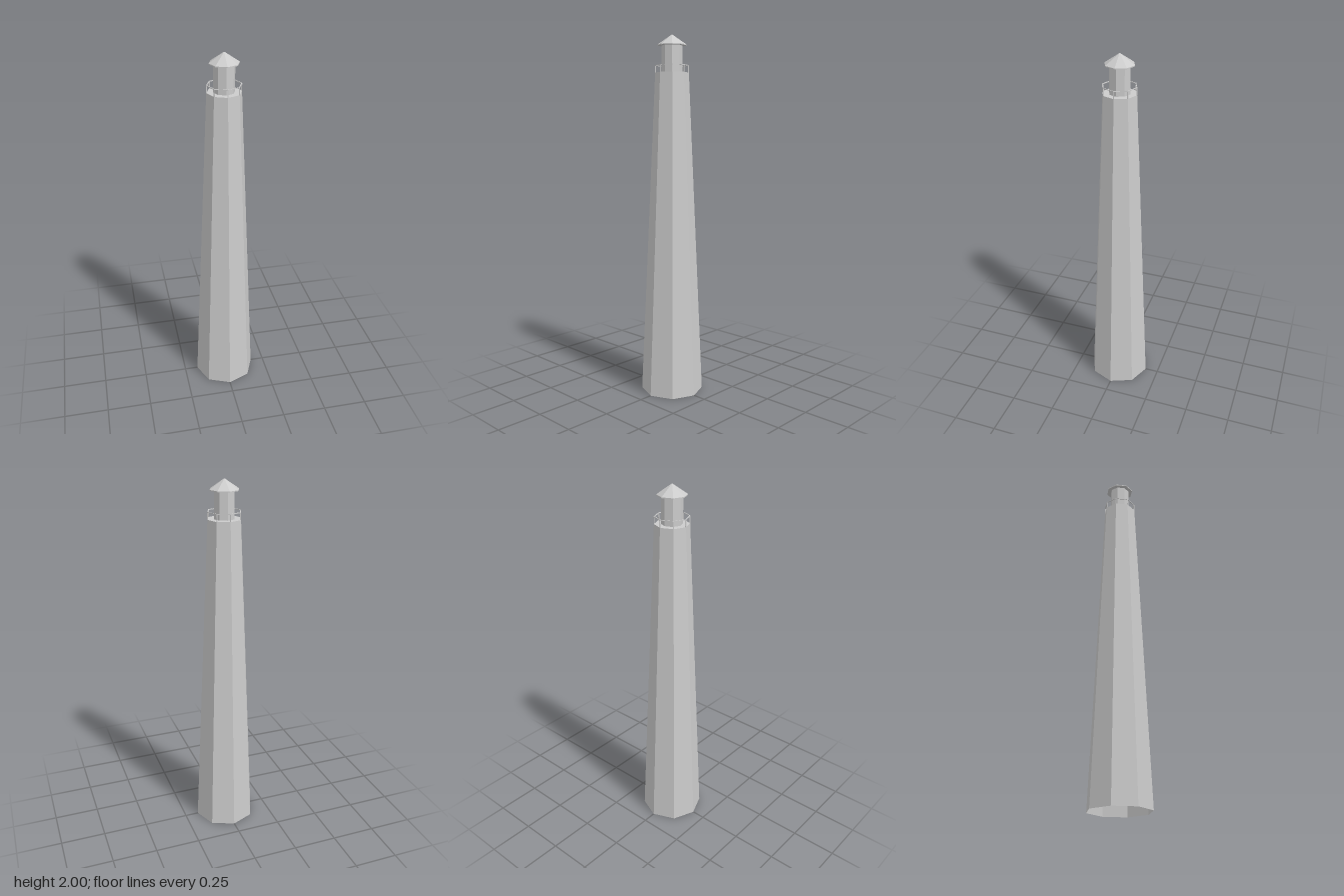
import * as THREE from 'three';

const SIDES = 8;
const material = new THREE.MeshStandardMaterial({ color: 0xcccccc, flatShading: true, side: THREE.DoubleSide });

export function createModel() {
  const model = new THREE.Group();

  const add = (name, geometry, parent = model) => {
    const mesh = new THREE.Mesh(geometry, material);
    mesh.name = name;
    parent.add(mesh);
    return mesh;
  };

  // Octagonal frustum between two heights, corners on the axes
  const frustum = (name, rBottom, rTop, y0, y1, open = false) => {
    const mesh = add(name, new THREE.CylinderGeometry(rTop, rBottom, y1 - y0, SIDES, 1, open));
    mesh.position.y = (y0 + y1) / 2;
    return mesh;
  };

  // Tapered tower, hollow and open at the foot
  frustum('tower', 0.174, 0.092, 0, 1.8, true);
  const deck = add('galleryDeck', new THREE.CircleGeometry(0.092, SIDES));
  deck.rotation.x = -Math.PI / 2;
  deck.position.y = 1.8;

  // Lantern room and its roof
  frustum('lanternRoom', 0.056, 0.056, 1.8, 1.946);
  frustum('roofEave', 0.079, 0.079, 1.944, 1.949);
  frustum('roof', 0.079, 0.004, 1.949, 2);

  // Gallery railing: a post at every corner and a bar along every side
  const railing = new THREE.Group();
  railing.name = 'railing';
  model.add(railing);
  const radius = 0.09, bar = 0.004, top = 1.84;
  const sideLength = 2 * radius * Math.sin(Math.PI / SIDES);
  const apothem = radius * Math.cos(Math.PI / SIDES);
  for (let i = 0; i < SIDES; i++) {
    const a = (i / SIDES) * Math.PI * 2;
    const post = add('railPost', new THREE.BoxGeometry(bar, top - 1.8, bar), railing);
    post.position.set(Math.sin(a) * radius, (1.8 + top) / 2, Math.cos(a) * radius);
    post.rotation.y = a;

    const mid = a + Math.PI / SIDES;
    const rail = add('handrail', new THREE.BoxGeometry(sideLength + bar / 2, bar, bar), railing);
    rail.position.set(Math.sin(mid) * apothem, top - bar / 2, Math.cos(mid) * apothem);
    rail.rotation.y = mid;
  }

  return model;
}
